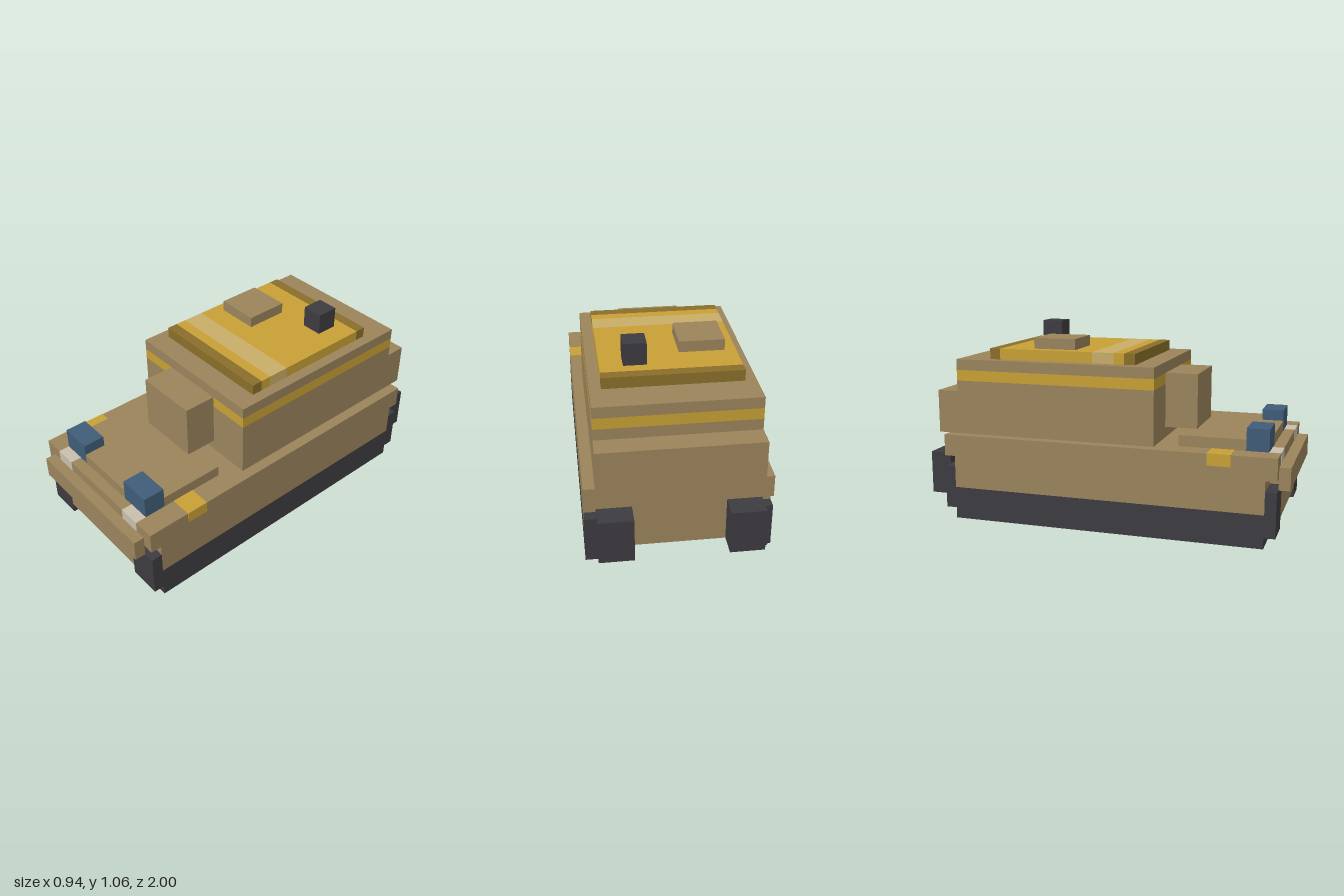
import * as THREE from 'three';

const U = 1 / 17; // one grid cell

const mat = (name, color) => {
  const m = new THREE.MeshStandardMaterial({ color });
  m.name = name;
  return m;
};

export function createModel() {
  const tan = mat('tan', 0x9b845c);
  const yellow = mat('yellow', 0xc8a035);
  const ochre = mat('ochre', 0x8a6f2a);
  const pale = mat('paleYellow', 0xc8ae68);
  const blue = mat('blue', 0x405d78);
  const white = mat('offWhite', 0xc9bfac);
  const dark = mat('charcoal', 0x3d3b40);

  const model = new THREE.Group();
  model.name = 'tank';

  // Box given by its limits in grid cells; grow lets a painted patch stand just proud
  const box = (name, material, x0, x1, y0, y1, z0, z1, grow = 0) => {
    const g = new THREE.BoxGeometry(
      (x1 - x0 + 2 * grow) * U, (y1 - y0 + 2 * grow) * U, (z1 - z0 + 2 * grow) * U);
    const mesh = new THREE.Mesh(g, material);
    mesh.name = name;
    mesh.position.set((x0 + x1) / 2 * U, (y0 + y1) / 2 * U, (z0 + z1) / 2 * U);
    model.add(mesh);
  };
  // The same box on both sides
  const pair = (name, material, x0, x1, ...rest) => {
    box(name + 'Left', material, x0, x1, ...rest);
    box(name + 'Right', material, -x1, -x0, ...rest);
  };

  // Hull
  box('hullCore', tan, -5, 5, 2, 6, -15, 16);
  box('hullUpper', tan, -8, 8, 6, 8, -15, 16);
  pair('sideSkirt', tan, 5, 8, 3, 6, -14, 15);
  box('frontBumper', tan, -7, 7, 5, 7, 16, 17);
  box('frontDeck', tan, -6, 6, 8, 9, 7, 13);
  box('deckNose', tan, -3, 3, 8, 9, 13, 15);

  // Tracks
  pair('track', dark, 5, 8, 0, 3, -14, 15);
  pair('trackFront', dark, 5, 8, 1, 5, 15, 16);
  pair('trackRear', dark, 5, 8, 1, 5, -15, -14);
  pair('exhaust', dark, 4, 7, 2, 6, -17, -15);

  // Lights and markers
  pair('visionBlock', blue, 3, 6, 8, 10, 13, 15);
  pair('headlight', white, 4, 6, 7, 8, 15, 16, 0.03);
  pair('sideMarker', yellow, 6, 8, 7, 8, 10, 12, 0.03);

  // Turret in layers, with a stripe all round
  box('turretBody', tan, -7, 7, 8, 13, -14, 5);
  box('turretStripe', yellow, -7, 7, 13, 14, -14, 5);
  box('turretTop', tan, -7, 7, 14, 15, -14, 5);
  box('mantlet', tan, -3, 3, 9, 14, 5, 8);
  box('turretBustle', tan, -7, 7, 8, 12, -16, -14);

  // Banded roof panel, from back to front
  [[ochre, -11, -10], [yellow, -10, -1], [pale, -1, 1], [yellow, 1, 2], [ochre, 2, 3]]
    .forEach(([m, z0, z1], i) => box('roofBand' + (i + 1), m, -6, 6, 15, 16, z0, z1));

  // Roof fittings
  box('hatch', tan, -5, -1, 16, 17, -7, -3);
  box('periscope', dark, 2, 4, 16, 18, -9, -7);

  return model;
}
